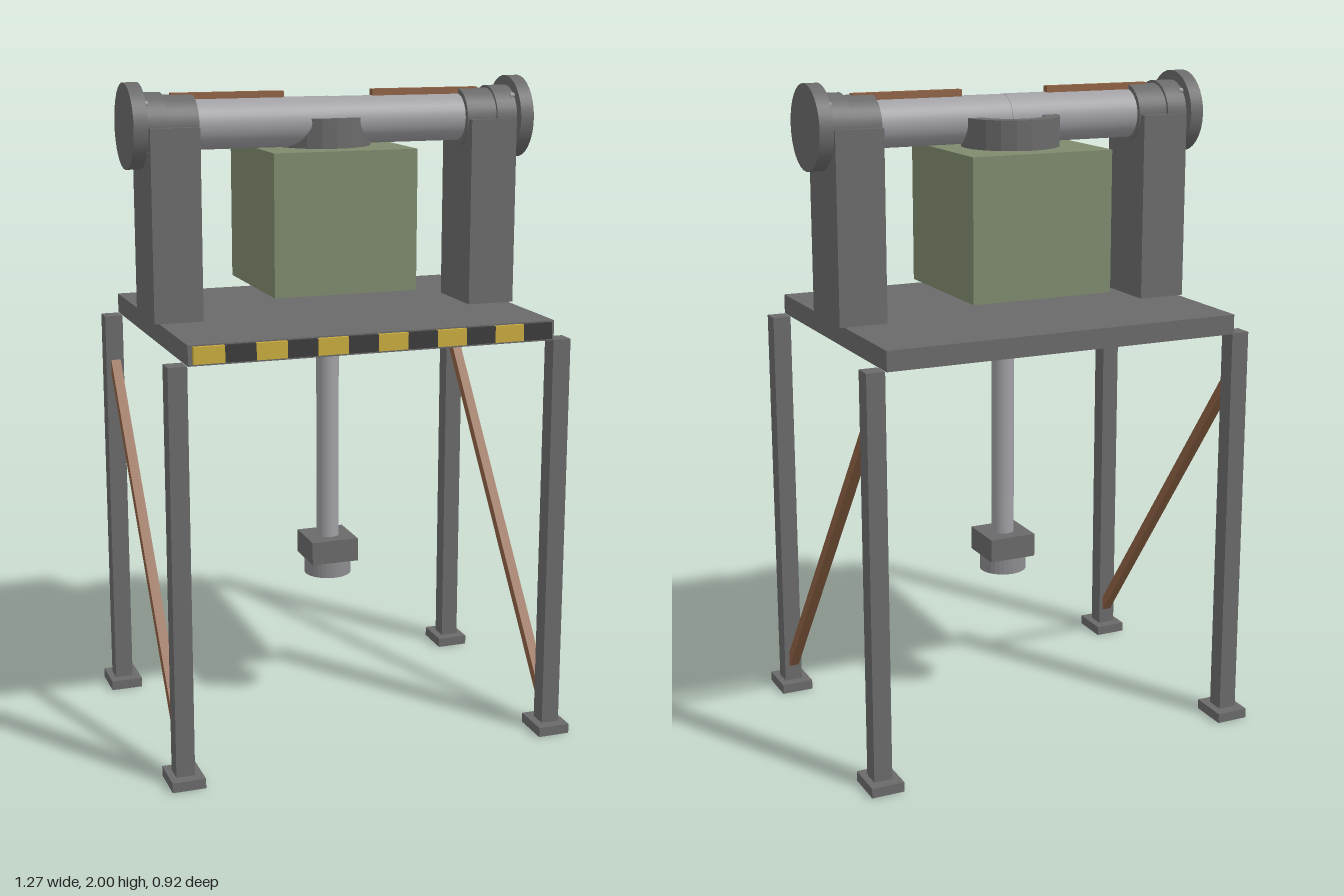
import * as THREE from 'three';

const mat = (name, color) => {
  const m = new THREE.MeshStandardMaterial({ color });
  m.name = name;
  return m;
};

export function createModel() {
  const model = new THREE.Group();
  model.name = 'drillPress';
  const iron = mat('iron grey', 0x6a6a6a);
  const steel = mat('light steel', 0xa0a0a5);
  const tipSteel = mat('dull steel', 0x8c8c90);
  const green = mat('machine green', 0x7e8a6d);
  const copper = mat('copper', 0x8f6244);
  const yellow = mat('warning yellow', 0xc9ab3e);
  const black = mat('warning black', 0x3b3b3b);

  const add = (name, geometry, material, x, y, z) => {
    const mesh = new THREE.Mesh(geometry, material);
    mesh.name = name;
    mesh.position.set(x, y, z);
    model.add(mesh);
    return mesh;
  };
  // Box given by its centre in x and z, and its bottom and top heights
  const box = (name, m, x, z, w, d, y0, y1) =>
    add(name, new THREE.BoxGeometry(w, y1 - y0, d), m, x, (y0 + y1) / 2, z);
  // Cylinder lying along x
  const barX = (name, m, r, x0, x1, y = 1.875, z = 0, sides = 32) =>
    add(name, new THREE.CylinderGeometry(r, r, Math.abs(x1 - x0), sides).rotateZ(Math.PI / 2),
      m, (x0 + x1) / 2, y, z);
  // Upright ring with a square section
  const ring = (name, m, rIn, rOut, x, z, y0, y1, sides) => {
    const shape = new THREE.Shape().absarc(0, 0, rOut, 0, Math.PI * 2);
    shape.holes.push(new THREE.Path().absarc(0, 0, rIn, 0, Math.PI * 2, true));
    const g = new THREE.ExtrudeGeometry(shape, { depth: y1 - y0, bevelEnabled: false, curveSegments: sides });
    return add(name, g.rotateX(-Math.PI / 2), m, x, y0, z);
  };

  // Table top with its striped warning edge
  box('tableTop', iron, 0, -0.003, 1.115, 0.868, 1.25, 1.31);
  const stripe = 1.09 / 12;
  for (let i = 0; i < 12; i++) {
    box('warningStripe', i % 2 ? black : yellow, -0.545 + stripe * (i + 0.5), 0.437, stripe, 0.014, 1.257, 1.306);
  }

  for (const s of [-1, 1]) {
    // Legs and feet
    for (const z of [-0.4, 0.4]) {
      box('leg', iron, s * 0.587, z, 0.056, 0.057, 0.03, 1.25);
      box('foot', iron, s * 0.585, z, 0.1, 0.124, 0, 0.03);
    }
    // Diagonal side brace, low at the front and high at the back
    const brace = add('brace', new THREE.BoxGeometry(0.03, 0.03, Math.hypot(0.76, 1.01)), copper, s * 0.585, 0.595, 0);
    brace.rotation.x = Math.atan2(1.01, 0.76);

    // Towers that carry the cross tube
    box('tower', iron, s * 0.498, 0, 0.148, 0.222, 1.31, 1.875);
    barX('sleeve', iron, 0.088, s * 0.42, s * 0.515);
    barX('collar', iron, 0.096, s * 0.515, s * 0.58);
    barX('endFlange', iron, 0.125, s * 0.58, s * 0.622);
    for (let i = 0; i < 4; i++) {
      const a = Math.PI / 4 + i * Math.PI / 2;
      barX('flangeBolt', steel, 0.008, s * 0.567, s * 0.582, 1.875 + 0.095 * Math.sin(a), 0.095 * Math.cos(a), 8);
    }
    // Copper strip along the top of the tube
    box('copperStrip', copper, s * 0.311, -0.003, 0.342, 0.024, 1.94, 1.967);
  }

  // Cross tube in two halves, one slightly wider
  barX('crossTubeRight', steel, 0.074, -0.44, 0);
  barX('crossTubeLeft', steel, 0.071, 0, 0.44, 1.877);

  // Gear housing and the ring on its lid
  box('housing', green, 0, -0.052, 0.446, 0.446, 1.377, 1.8);
  ring('lidRing', iron, 0.1, 0.148, 0, -0.053, 1.8, 1.888, 10);

  // Hanging shaft, chuck block and tip
  add('shaft', new THREE.CylinderGeometry(0.035, 0.035, 0.78, 32), steel, 0, 0.86, 0);
  box('chuck', iron, 0, 0, 0.15, 0.15, 0.505, 0.578);
  ring('chuckTip', tipSteel, 0.035, 0.073, 0, 0, 0.455, 0.505, 16);
  return model;
}
